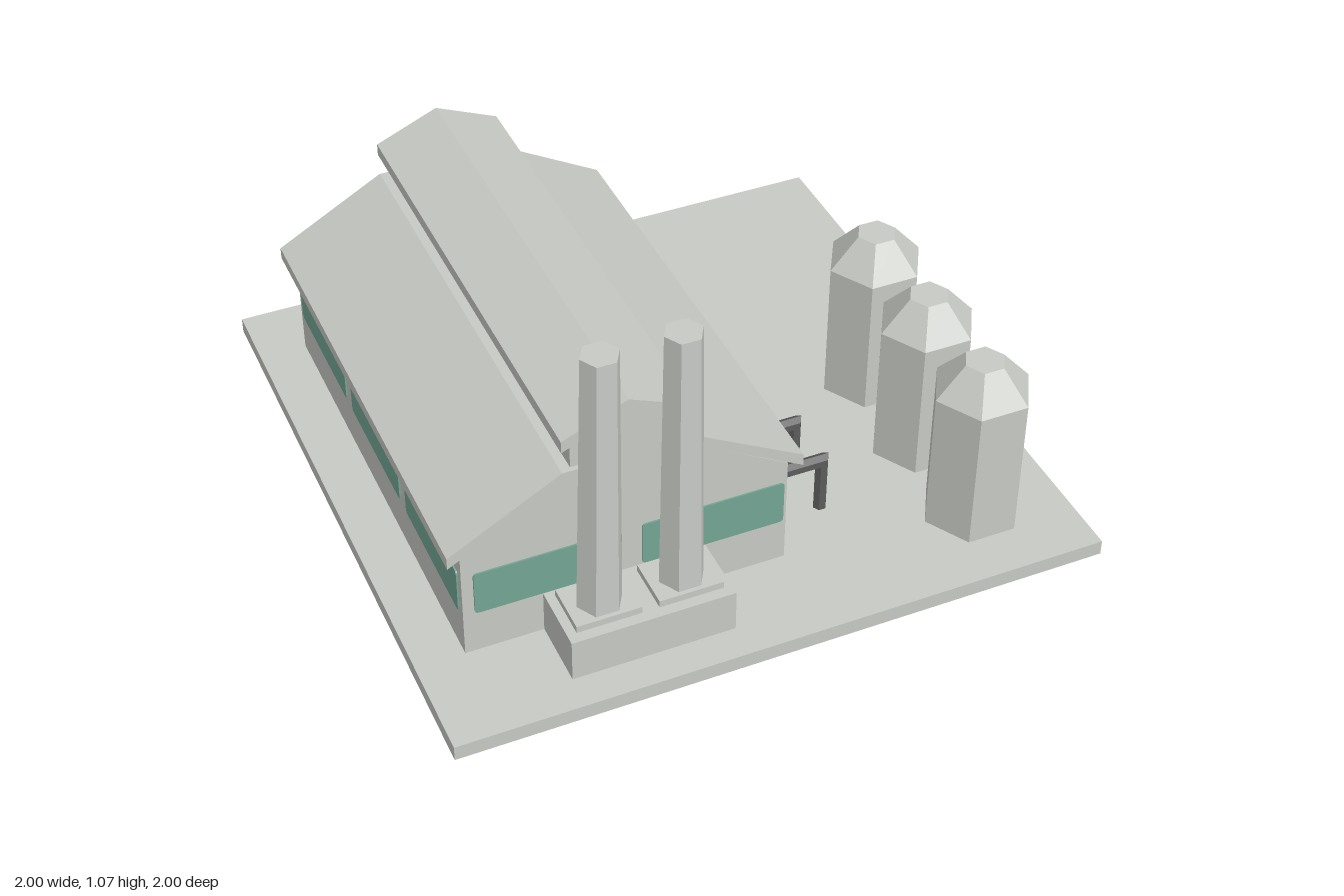
import * as THREE from 'three';

const concrete = new THREE.MeshStandardMaterial({ color: 0xc6c9c4, flatShading: true });
concrete.name = 'concrete grey';
const glass = new THREE.MeshStandardMaterial({ color: 0x73a594, flatShading: true });
glass.name = 'window green';
const iron = new THREE.MeshStandardMaterial({ color: 0x5c5c5c, flatShading: true });
iron.name = 'pipe dark grey';

const MID = -0.363; // x of the hall's ridge
const BACK = -0.79, FRONT = 0.685; // end walls of the hall
const GROUND = 0.048;

function add(parent, name, geometry, material, x = 0, y = 0, z = 0) {
  const mesh = new THREE.Mesh(geometry, material);
  mesh.name = name;
  mesh.position.set(x, y, z);
  parent.add(mesh);
  return mesh;
}

// Box given by its minimum and maximum corners
function block(parent, name, x0, x1, y0, y1, z0, z1) {
  return add(parent, name, new THREE.BoxGeometry(x1 - x0, y1 - y0, z1 - z0), concrete,
    (x0 + x1) / 2, (y0 + y1) / 2, (z0 + z1) / 2);
}

// Profile in x, y extruded from z0 to z1
function prism(points, z0, z1) {
  const shape = new THREE.Shape(points.map(([x, y]) => new THREE.Vector2(x, y)));
  return new THREE.ExtrudeGeometry(shape, { depth: z1 - z0, bevelEnabled: false }).translate(0, 0, z0);
}

// Six-sided tube with corners towards +x and -x, standing on y = 0
function hexagon(top, bottom, height, open = false) {
  return new THREE.CylinderGeometry(top, bottom, height, 6, 1, open)
    .rotateY(Math.PI / 6).translate(0, height / 2, 0).toNonIndexed();
}

// Move vertices by a rule, then refresh the normals
function reshape(geometry, rule) {
  const p = geometry.attributes.position;
  const v = new THREE.Vector3();
  for (let i = 0; i < p.count; i++) {
    v.fromBufferAttribute(p, i);
    rule(v);
    p.setXYZ(i, v.x, v.y, v.z);
  }
  geometry.computeVertexNormals();
  return geometry;
}

// Thin pane with rounded corners, facing +z
function pane(w, h, r = 0.012) {
  const s = new THREE.Shape();
  const a = w / 2, b = h / 2;
  s.moveTo(-a + r, -b);
  s.lineTo(a - r, -b);
  s.quadraticCurveTo(a, -b, a, -b + r);
  s.lineTo(a, b - r);
  s.quadraticCurveTo(a, b, a - r, b);
  s.lineTo(-a + r, b);
  s.quadraticCurveTo(-a, b, -a, b - r);
  s.lineTo(-a, -b + r);
  s.quadraticCurveTo(-a, -b, -a + r, -b);
  return new THREE.ExtrudeGeometry(s, { depth: 0.006, bevelEnabled: false, curveSegments: 3 });
}

function buildHall() {
  const hall = new THREE.Group();
  hall.name = 'hall';

  // Walls and raised ridge section share one gable outline
  const half = [[0.489, GROUND], [0.489, 0.405], [0.165, 0.59], [0.165, 0.712]];
  const outline = [
    ...half.map(([x, y]) => [MID + x, y]),
    [MID, 0.785],
    ...half.reverse().map(([x, y]) => [MID - x, y]),
  ];
  add(hall, 'walls', prism(outline, BACK, FRONT), concrete);

  // Lower roof slopes, with a level lip at the top
  const slope = [[0.53, 0.395], [0.53, 0.433], [0.194, 0.62], [0.11, 0.62], [0.11, 0.602], [0.16, 0.602]];
  for (const side of [1, -1]) {
    const profile = slope.map(([x, y]) => [MID + side * x, y]);
    add(hall, side > 0 ? 'leftRoof' : 'rightRoof', prism(profile, -0.81, 0.7), concrete);
  }

  // Ridge roof
  const ridge = [[-0.195, 0.692], [0, 0.777], [0.195, 0.692], [0.195, 0.73], [0, 0.813], [-0.195, 0.73]];
  add(hall, 'ridgeRoof', prism(ridge.map(([x, y]) => [MID + x, y]), -0.81, 0.7), concrete);

  // Windows: two on each gable, three on the right wall, two on the left wall
  const gap = 0.249, wy = 0.264;
  for (const s of [-1, 1]) {
    add(hall, 'frontWindow', pane(0.436, 0.145), glass, MID + 0.013 + s * gap - 0.001, wy, FRONT - 0.001);
    add(hall, 'backWindow', pane(0.436, 0.145), glass, MID + s * gap, wy, BACK + 0.001).rotation.y = Math.PI;
  }
  [-0.537, -0.046, 0.443].forEach((z, i) => {
    add(hall, 'rightWindow', pane(0.434, 0.145), glass, MID - 0.488, wy, z).rotation.y = -Math.PI / 2;
    if (i < 2) add(hall, 'leftWindow', pane(0.434, 0.145), glass, MID + 0.488, wy, z).rotation.y = Math.PI / 2;
  });
  return hall;
}

function buildChimneys() {
  const chimneys = new THREE.Group();
  chimneys.name = 'chimneys';
  block(chimneys, 'chimneyPlinth', -0.617, -0.125, GROUND, 0.185, 0.68, 0.895);
  // The first stack leans slightly
  for (const [x, lean] of [[-0.492, 0.012], [-0.246, 0]]) {
    block(chimneys, 'chimneyFoot', x - 0.097, x + 0.097, 0.185, 0.207, 0.705, 0.862);
    const stack = reshape(hexagon(0.056, 0.068, 0.865), (v) => { v.x += lean * v.y / 0.865; });
    add(chimneys, 'chimneyStack', stack, concrete, x, 0.207, 0.79);
  }
  return chimneys;
}

function buildSilo(z) {
  const silo = new THREE.Group();
  silo.name = 'silo';
  add(silo, 'siloBody', hexagon(0.15, 0.15, 0.462), concrete, 0.718, GROUND, z);
  add(silo, 'siloCap', hexagon(0.062, 0.15, 0.1), concrete, 0.718, 0.51, z);
  return silo;
}

// Pipe leaving the wall and turning down, mitred at the corner
function buildPipe(z) {
  const pipe = new THREE.Group();
  pipe.name = 'pipe';
  const r = 0.021, cx = 0.315, cy = 0.227;
  const run = cx - 0.11, drop = cy - GROUND;
  const arm = hexagon(r, r, run).rotateZ(Math.PI / 2);
  reshape(arm, (v) => { if (v.x > -run / 2) v.x = v.y; });
  add(pipe, 'pipeArm', arm, iron, cx, cy, z);
  const leg = hexagon(r, r, drop);
  reshape(leg, (v) => { if (v.y > drop / 2) v.y = drop + v.x; });
  add(pipe, 'pipeLeg', leg, iron, cx, GROUND, z);
  return pipe;
}

export function createModel() {
  const model = new THREE.Group();
  model.name = 'factory';
  block(model, 'base', -1, 1, 0, GROUND, -1, 1);
  model.add(buildHall(), buildChimneys());
  for (const z of [0.06, 0.39, 0.72]) model.add(buildSilo(z));
  for (const z of [0.355, 0.535]) model.add(buildPipe(z));
  return model;
}
